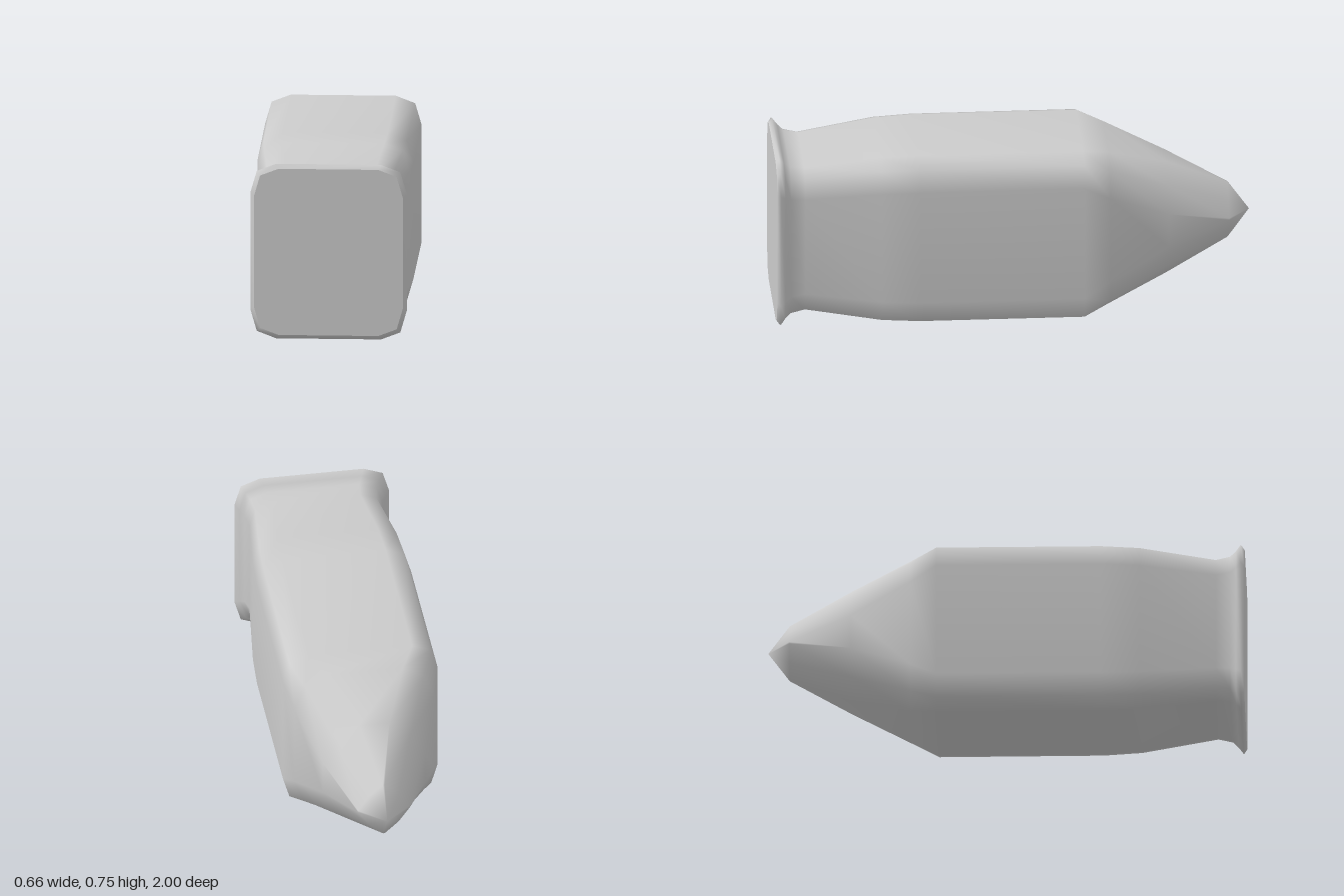
import * as THREE from 'three';

const CENTER_Y = 0.375;

// Twelve-point outline; t turns the rounded rectangle (0) into a diamond (1)
function outline(w, h, t) {
  const mid = THREE.MathUtils.lerp(0.917, 0.55, t);
  const corner = [[w, 0.667 * h * (1 - t)], [w * mid, h * mid], [0.67 * w * (1 - t), h]];
  const flipped = corner.slice().reverse();
  return [
    ...corner,
    ...flipped.map(([x, y]) => [-x, y]),
    ...corner.map(([x, y]) => [-x, -y]),
    ...flipped.map(([x, y]) => [x, -y]),
  ];
}

// Skin through the sections from front to back, closed by a tip point
function loft(sections, tipZ) {
  const positions = [], index = [], n = 12;
  for (const [z, w, h, t] of sections) {
    for (const [x, y] of outline(w, h, t)) positions.push(x, y + CENTER_Y, z);
  }
  positions.push(0, CENTER_Y, tipZ);
  const last = sections.length - 1, tip = sections.length * n;
  for (let i = 0; i <= last; i++) {
    for (let j = 0; j < n; j++) {
      const a = i * n + j, b = i * n + (j + 1) % n;
      if (i === last) index.push(a, tip, b);
      else index.push(a, a + n, b, b, a + n, b + n);
    }
  }
  const geometry = new THREE.BufferGeometry();
  geometry.setAttribute('position', new THREE.Float32BufferAttribute(positions, 3));
  geometry.setIndex(index);
  geometry.computeVertexNormals();
  return geometry;
}

export function createModel() {
  const group = new THREE.Group();
  const material = new THREE.MeshStandardMaterial({ color: 0xcccccc });

  // Flared rim, neck, body and tapering nose: z, half width, half height, diamond blend
  const sections = [
    [1.0, 0.312, 0.357, 0],
    [0.985, 0.328, 0.375, 0],
    [0.965, 0.31, 0.352, 0],
    [0.94, 0.292, 0.332, 0],
    [0.88, 0.281, 0.321, 0],
    [0.56, 0.318, 0.368, 0],
    [0.4, 0.327, 0.375, 0],
    [-0.29, 0.328, 0.375, 0],
    [-0.4, 0.297, 0.345, 0.18],
    [-0.65, 0.217, 0.252, 0.55],
    [-0.91, 0.11, 0.125, 0.95],
  ];
  const shell = new THREE.Mesh(loft(sections, -1), material);
  shell.name = 'shell';
  group.add(shell);

  // Flat front end
  const [z, w, h, t] = sections[0];
  const shape = new THREE.Shape(outline(w, h, t).map(([x, y]) => new THREE.Vector2(x, y)));
  const endPlate = new THREE.Mesh(new THREE.ShapeGeometry(shape), material);
  endPlate.position.set(0, CENTER_Y, z);
  endPlate.name = 'endPlate';
  group.add(endPlate);

  return group;
}
